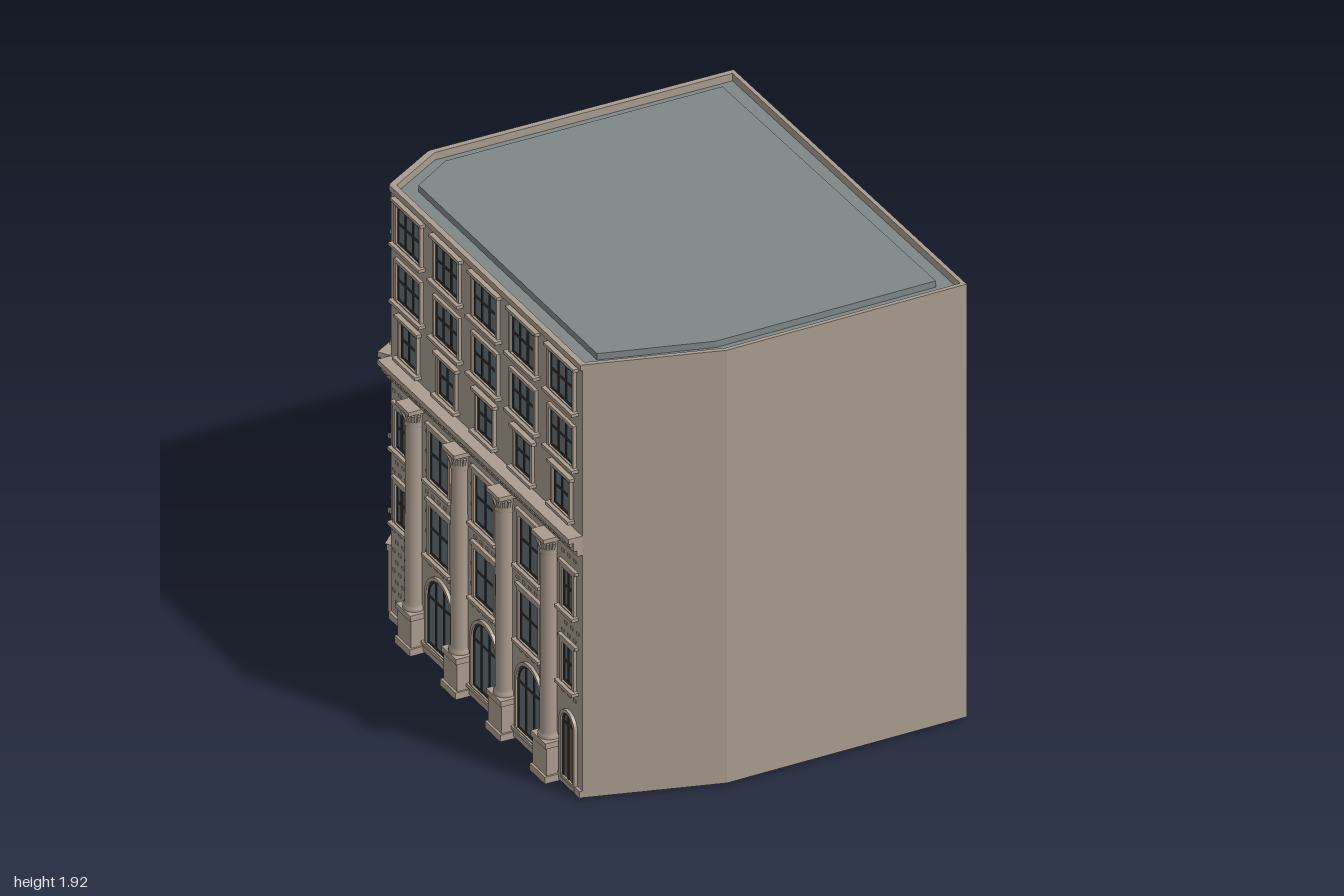
import * as THREE from 'three';
import { mergeGeometries } from 'three/addons/utils/BufferGeometryUtils.js';

const mat = (name, color) => Object.assign(new THREE.MeshStandardMaterial({ color }), { name });
const stone = mat('stone wall', 0xa79b8f);
const trim = mat('stone trim', 0xab9c8f);
const roofGrey = mat('roof grey', 0x7f8787);
const glass = mat('window glass', 0x647075);
const iron = mat('dark frame', 0x35332f);
const wood = mat('door brown', 0x655a50);

// Plan corners as [x, z]
const A = [-0.765, 0.84], B = [-0.22, 0.995], C = [0.835, 0.965];
const D = [0.815, -0.922], E = [-0.512, -0.905], F = [-0.765, -0.745];
const plan = [A, B, C, D, E, F];
const inner = plan.map(([x, z]) => [x * 0.978, z * 0.981]);
const slab = [[-0.67, 0.78], [-0.22, 0.905], [0.745, 0.88], [0.72, -0.84], [-0.49, -0.82], [-0.67, -0.70]];

function add(g, geo, material, name) {
  const m = new THREE.Mesh(geo, material);
  m.name = name;
  g.add(m);
  return m;
}

// Vertical prism over a plan outline
function prism(g, pts, y0, y1, material, name, hole) {
  const v = (list) => list.map(([x, z]) => new THREE.Vector2(x, -z));
  const s = new THREE.Shape(v(pts));
  if (hole) s.holes.push(new THREE.Path(v(hole)));
  const geo = new THREE.ExtrudeGeometry(s, { depth: y1 - y0, bevelEnabled: false });
  geo.rotateX(-Math.PI / 2).translate(0, y0, 0);
  return add(g, geo, material, name);
}

// Box standing out from the facade: centre x, y range, width, depth range
function boxGeo(x, y0, y1, w, d, z0 = -0.005) {
  return new THREE.BoxGeometry(w, y1 - y0, d - z0).translate(x, (y0 + y1) / 2, (d + z0) / 2);
}
const block = (g, x, y0, y1, w, d, material, name) => add(g, boxGeo(x, y0, y1, w, d), material, name);

// Opening outline with a round or shallow arched head (rise 0 is square)
function opening(Kind, x, y0, y1, w, rise) {
  const s = new Kind(), r = w / 2;
  s.moveTo(x - r, y0).lineTo(x + r, y0).lineTo(x + r, y1 - rise);
  if (rise) for (let i = 1; i < 16; i++) {
    const a = (i / 16) * Math.PI;
    s.lineTo(x + r * Math.cos(a), y1 - rise + rise * Math.sin(a));
  }
  s.lineTo(x - r, y1 - rise).lineTo(x - r, y0);
  return s;
}
function plate(g, shape, depth, material, name) {
  return add(g, new THREE.ExtrudeGeometry(shape, { depth, bevelEnabled: false }), material, name);
}

// Window: glass, bars, stone surround, sill and lintel
function windowUnit(g, x, y0, y1, w, { rise = 0, bars = 1, sill = 0.03, lintel = 0, fill = glass } = {}) {
  const u = new THREE.Group();
  u.name = 'window';
  g.add(u);
  plate(u, opening(THREE.Shape, x, y0, y1, w, rise), 0.003, fill, 'pane');
  const ring = (grow, inset, depth, material, name) => {
    const s = opening(THREE.Shape, x, y0 - grow, y1 + grow, w + grow * 2, rise ? rise + grow : 0);
    s.holes.push(opening(THREE.Path, x, y0 + inset, y1 - inset, w - inset * 2, rise ? rise - inset : 0));
    plate(u, s, depth, material, name);
  };
  ring(0, 0.01, 0.006, iron, 'frame');
  ring(0.015, 0, 0.014, trim, 'surround');
  for (let i = 1; i <= bars; i++) {
    const t = i / (bars + 1) - 0.5;
    const top = y1 - rise + rise * Math.sqrt(1 - 4 * t * t);
    block(u, x + t * w, y0, top - 0.004, 0.012, 0.006, iron, 'mullion');
  }
  const mid = rise > 0.04 ? y1 - rise : y0 + (y1 - y0) * 0.55;
  block(u, x, mid - 0.005, mid + 0.005, w, 0.006, iron, 'transom');
  if (sill) block(u, x, y0 - 0.018, y0 - 0.004, w + 0.06, sill, trim, 'sill');
  if (lintel) block(u, x, y1 + 0.012, y1 + 0.026, w + 0.06, lintel, trim, 'lintel');
}

// Engaged column on a tall pedestal
function column(g, x) {
  const c = new THREE.Group();
  c.name = 'column';
  c.position.x = x;
  g.add(c);
  block(c, 0, 0, 0.03, 0.128, 0.07, trim, 'footing');
  block(c, 0, 0.03, 0.15, 0.112, 0.06, trim, 'pedestal');
  block(c, 0, 0.15, 0.175, 0.122, 0.066, trim, 'pedestalCap');
  const profile = [[0.045, 0.175], [0.045, 0.19], [0.037, 0.2], [0.035, 0.98], [0.039, 0.985], [0.036, 0.995], [0.04, 1.03], [0.05, 1.052]];
  const shaft = new THREE.LatheGeometry(profile.map(([r, y]) => new THREE.Vector2(r, y)), 24);
  add(c, shaft.translate(0, 0, 0.018), trim, 'shaft');
  const leaves = [];
  for (let i = -3; i <= 3; i++) {
    const leaf = new THREE.BoxGeometry(0.012, 0.035, 0.008);
    leaf.rotateX(0.35).translate(0, 1.025, 0.043).rotateY(i * 0.5).translate(0, 0, 0.018);
    leaves.push(leaf);
  }
  add(c, mergeGeometries(leaves), trim, 'capitalLeaves');
  block(c, 0, 1.052, 1.07, 0.105, 0.07, trim, 'abacus');
}

// Stepped cornice with dentils
function cornice(g, L) {
  for (const [y0, y1, d] of [[1.08, 1.105, 0.022], [1.105, 1.142, 0.038], [1.142, 1.165, 0.06]])
    block(g, L / 2, y0, y1, L, d, trim, 'cornice');
  const teeth = [];
  const n = Math.round(L / 0.04);
  for (let i = 0; i < n; i++) teeth.push(boxGeo((i + 0.5) * L / n, 1.122, 1.142, 0.018, 0.05));
  add(g, mergeGeometries(teeth), trim, 'dentils');
}

// Raised bricks scattered in courses around the openings
function bricks(g, L, holes) {
  const list = [];
  for (let row = 0; row < 22; row++) {
    const y = 0.1 + row * 0.044;
    for (let x = row % 2 ? 0.025 : 0.05; x < L - 0.02; x += 0.05) {
      if (holes.some(([hx, y0, y1, w]) => Math.abs(x - hx) < w / 2 + 0.032 && y > y0 - 0.035 && y < y1 + 0.035)) continue;
      list.push(boxGeo(x, y - 0.006, y + 0.006, 0.022, 0.003));
    }
  }
  add(g, mergeGeometries(list), stone, 'bricks');
}

// Frame whose x runs along the wall from P to Q and whose z points outward
function facade(root, P, Q, name) {
  const g = new THREE.Group();
  g.name = name;
  g.position.set(P[0], 0, P[1]);
  g.rotation.y = Math.atan2(P[1] - Q[1], Q[0] - P[0]);
  root.add(g);
  return [g, Math.hypot(Q[0] - P[0], Q[1] - P[1])];
}

function longFacade(root, P, Q, name, columns, doorBay) {
  const [g, L] = facade(root, P, Q, name);
  cornice(g, L);
  block(g, L / 2, 1.895, 1.92, L, 0.008, trim, 'topBand');
  // Three attic rows of five windows
  for (let i = 0; i < 5; i++) {
    const x = (i + 0.5) * L / 5;
    windowUnit(g, x, 1.695, 1.86, 0.19, { bars: 2, lintel: 0.022 });
    windowUnit(g, x, 1.445, 1.61, 0.19, { bars: 2 });
    windowUnit(g, x, 1.205, 1.36, 0.13, { lintel: 0.022 });
  }
  // Main storeys between the columns
  const holes = columns.map((x) => [x, 0, 1.1, 0.07]);
  const edges = [0, ...columns, L];
  for (let i = 0; i < 5; i++) {
    const outer = i === 0 || i === 4;
    const x = (edges[i] + edges[i + 1]) / 2 + (i === 0 ? -0.015 : i === 4 ? 0.015 : 0);
    const w = outer ? 0.085 : 0.16, h = outer ? 0.17 : 0.215;
    for (const y of [0.46, 0.79]) {
      windowUnit(g, x, y, y + h, w, { lintel: 0.015 });
      holes.push([x, y, y + h, w]);
    }
    if (!outer) {
      windowUnit(g, x, 0.06, 0.37, 0.2, { rise: 0.1, bars: 2, sill: 0.02 });
      holes.push([x, 0.04, 0.37, 0.22]);
    } else if (i === doorBay) {
      windowUnit(g, x, 0.03, 0.33, 0.1, { rise: 0.05, sill: 0, fill: wood });
      holes.push([x, 0, 0.36, 0.12]);
    }
  }
  columns.forEach((x) => column(g, x));
  bricks(g, L, holes);
  block(g, L / 2, 0.01, 0.04, L, 0.012, trim, 'baseCourse');
}

function cornerFacade(root) {
  const [g, L] = facade(root, E, F, 'entranceCorner');
  const x = L / 2;
  cornice(g, L);
  block(g, x, 1.895, 1.92, L, 0.008, trim, 'topBand');
  windowUnit(g, x, 1.695, 1.85, 0.16, { rise: 0.02, lintel: 0.022 });
  windowUnit(g, x, 1.205, 1.355, 0.16, { rise: 0.025, lintel: 0.03 });
  // Round window
  add(g, new THREE.CircleGeometry(0.045, 24).translate(x, 1.54, 0.004), glass, 'roundWindow');
  add(g, new THREE.TorusGeometry(0.047, 0.009, 8, 28).translate(x, 1.54, 0.003), trim, 'roundSurround');
  // Windows with iron balconies
  for (const y of [0.46, 0.79]) {
    windowUnit(g, x, y, y + 0.2, 0.16, { lintel: 0.02 });
    block(g, x, y - 0.025, y - 0.008, 0.2, 0.045, trim, 'balconyFloor');
    const rails = [boxGeo(x, y + 0.034, y + 0.042, 0.19, 0.042, 0.034)];
    for (let i = -6; i <= 6; i++) rails.push(boxGeo(x + i * 0.015, y - 0.008, y + 0.036, 0.005, 0.041, 0.036));
    for (const s of [-1, 1]) rails.push(boxGeo(x + s * 0.093, y + 0.034, y + 0.042, 0.006, 0.042, 0));
    add(g, mergeGeometries(rails), iron, 'balconyRail');
  }
  // Entrance door with side piers and pediment
  block(g, x, 0.01, 0.28, 0.19, 0.008, wood, 'door');
  for (const s of [-1, 1]) block(g, x + s * 0.107, 0, 0.29, 0.03, 0.03, trim, 'doorPier');
  block(g, x, 0.285, 0.315, 0.25, 0.035, trim, 'doorLintel');
  const s = new THREE.Shape([[-0.13, 0.315], [0.13, 0.315], [0, 0.37]].map(([a, b]) => new THREE.Vector2(x + a, b)));
  plate(g, s, 0.04, trim, 'pediment');
}

export function createModel() {
  const root = new THREE.Group();
  root.name = 'cornerBuilding';
  prism(root, plan, 0.01, 1.88, stone, 'walls');
  prism(root, plan, 1.88, 1.92, stone, 'parapet', inner);
  prism(root, inner, 1.88, 1.887, roofGrey, 'roofDeck');
  prism(root, slab, 1.887, 1.915, roofGrey, 'raisedRoof');
  longFacade(root, D, E, 'northFacade', [0.195, 0.505, 0.815, 1.135], 4);
  cornerFacade(root);
  longFacade(root, F, A, 'westFacade', [0.225, 0.605, 0.975, 1.345], 4);
  return root;
}
